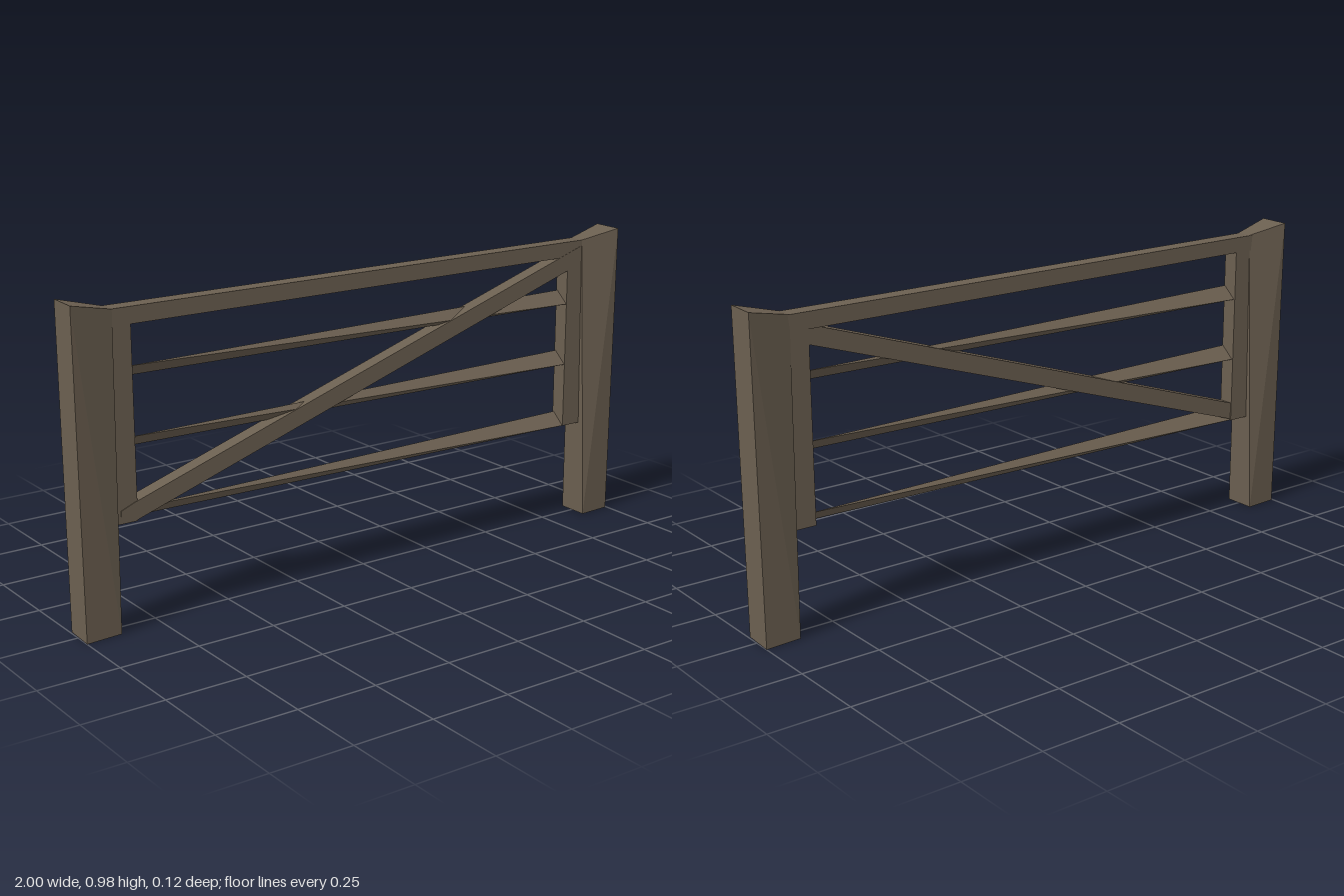
import * as THREE from 'three';
import { ConvexGeometry } from 'three/addons/geometries/ConvexGeometry.js';

export function createModel() {
  const gate = new THREE.Group();
  gate.name = 'gate';
  const wood = new THREE.MeshStandardMaterial({ color: 0x6b5f50, flatShading: true });

  // Faceted solid spanned by its corner points
  function addSolid(name, corners) {
    const geometry = new ConvexGeometry(corners.map((c) => new THREE.Vector3(...c)));
    const mesh = new THREE.Mesh(geometry, wood);
    mesh.name = name;
    gate.add(mesh);
  }

  // Beam with a front outline [x, y] carried from z0 to z1
  function addBeam(name, outline, z0, z1) {
    addSolid(name, outline.flatMap(([x, y]) => [[x, y, z0], [x, y, z1]]));
  }

  // Posts: square foot, top sloping down and tapering to the rail.
  // The two posts are half-turn copies of each other.
  for (const s of [1, -1]) {
    const side = s > 0 ? 'left' : 'right';
    addSolid(side + 'Post', [
      [1, 0, -0.056], [0.995, 0, 0.049], [0.885, 0, 0.055], [0.885, 0, -0.048],
      [1, 0.975, -0.047], [0.995, 0.975, 0.058], [0.865, 0.945, 0.025], [0.865, 0.945, -0.027],
    ].map(([x, y, z]) => [x * s, y, z * s]));

    // Upright of the gate frame
    addBeam(side + 'Stile', [
      [0.88 * s, 0.32], [0.807 * s, 0.32], [0.807 * s, 0.94], [0.87 * s, 0.94],
    ], -0.027, 0.024);
  }

  addBeam('topRail', [[-0.88, 0.895], [0.88, 0.895], [0.88, 0.945], [-0.88, 0.945]], -0.028, 0.025);

  // Slender rails twisted a quarter turn from end to end
  [0.34, 0.552, 0.757].forEach((y, i) => {
    const h = 0.02, d = 0.023, x = 0.83;
    addSolid('rail' + (i + 1), [
      [-x, y + h, d], [-x, y - h, -d], [x, y - h, d], [x, y + h, -d],
    ]);
  });

  // Diagonal brace rising to the left post
  addBeam('brace', [
    [-0.86, 0.335], [-0.815, 0.322], [0.807, 0.85], [0.86, 0.9],
    [0.86, 0.925], [0.807, 0.897], [-0.815, 0.378], [-0.86, 0.36],
  ], -0.024, 0.026);

  return gate;
}
